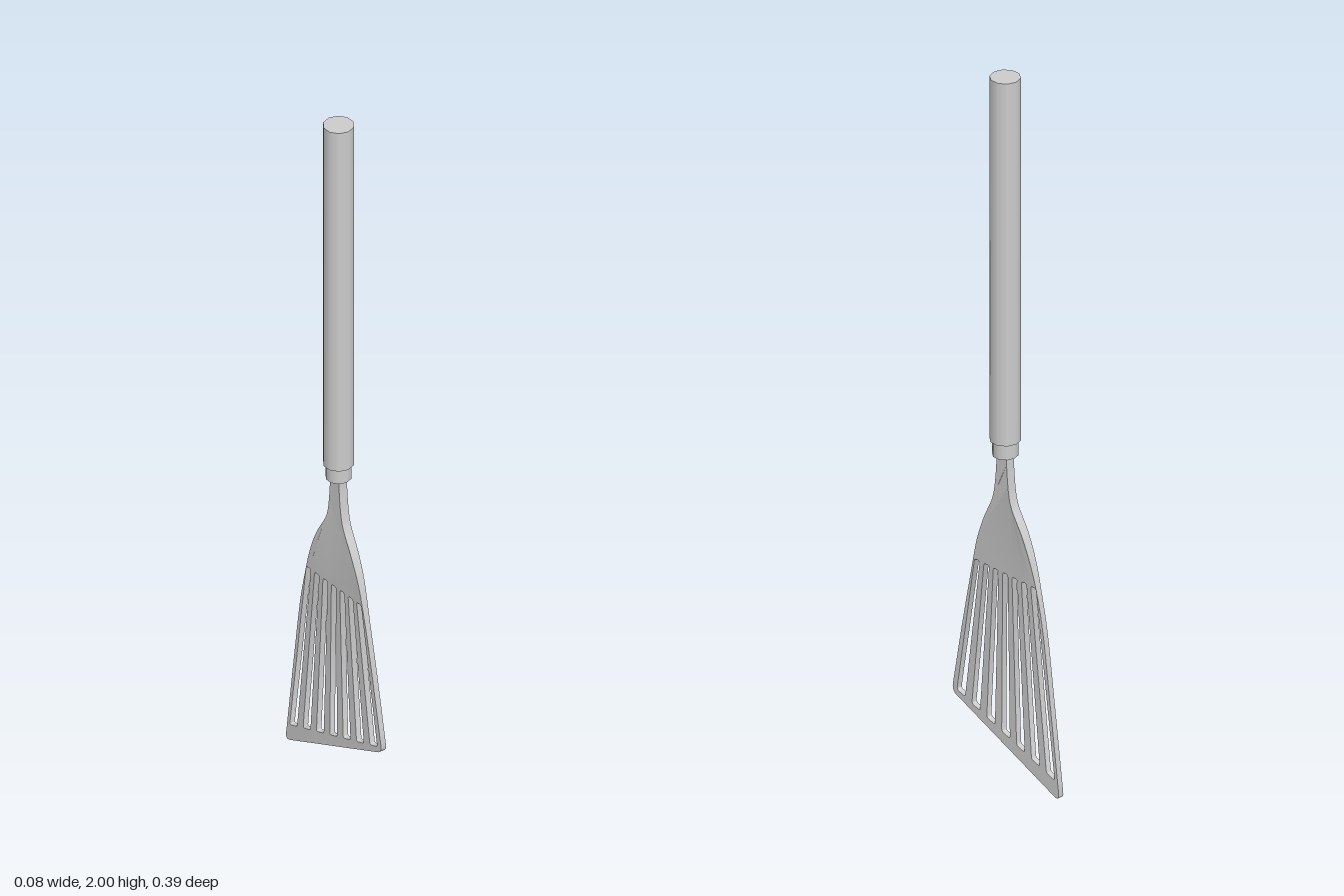
import * as THREE from 'three';
import { toCreasedNormals } from 'three/addons/utils/BufferGeometryUtils.js';

const material = new THREE.MeshStandardMaterial({ color: 0xcccccc });
const AXIS_Z = 0.012; // handle sits slightly forward of the blade's centre
const lerp = THREE.MathUtils.lerp;

function cylinder(name, radius, y0, y1) {
  const geometry = new THREE.CylinderGeometry(radius, radius, y1 - y0, 10);
  const mesh = new THREE.Mesh(geometry, material);
  mesh.name = name;
  mesh.position.set(0, (y0 + y1) / 2, AXIS_Z);
  return mesh;
}

// Closed path through the corners, each one rounded by radius r
function roundedPath(corners, r) {
  const path = new THREE.Path();
  const pts = corners.map(([x, y]) => new THREE.Vector2(x, y));
  const toward = (a, b) => a.clone().add(b.clone().sub(a).setLength(r));
  pts.forEach((p, i) => {
    const a = toward(p, pts[(i + pts.length - 1) % pts.length]);
    const b = toward(p, pts[(i + 1) % pts.length]);
    if (i === 0) path.moveTo(a.x, a.y);
    else path.lineTo(a.x, a.y);
    path.quadraticCurveTo(p.x, p.y, b.x, b.y);
  });
  path.closePath();
  return path;
}

// Neck is thick, thinning through the shoulders to the slotted blade
function thickness(y) {
  if (y > 0.75) return 0.026;
  return lerp(0.016, 0.026, THREE.MathUtils.smoothstep(y, 0.52, 0.75));
}

function createBlade() {
  // Outline drawn as (z, y): down the rear edge, along the slanted tip, up the front edge
  const v = (x, y) => new THREE.Vector2(x, y);
  const shape = new THREE.Shape();
  shape.moveTo(-0.006, 0.93);
  shape.splineThru([v(-0.009, 0.86), v(-0.021, 0.785), v(-0.06, 0.715), v(-0.088, 0.65),
    v(-0.109, 0.58), v(-0.135, 0.46), v(-0.162, 0.26), v(-0.193, 0.018)]);
  shape.quadraticCurveTo(-0.195, 0, -0.18, 0.004);
  shape.lineTo(0.185, 0.162);
  shape.quadraticCurveTo(0.199, 0.169, 0.196, 0.188);
  shape.splineThru([v(0.157, 0.4), v(0.12, 0.58), v(0.102, 0.65), v(0.077, 0.715),
    v(0.045, 0.785), v(0.033, 0.86), v(0.03, 0.93)]);
  shape.closePath();

  // Seven slots fanning out towards the tip
  for (let i = 0; i < 7; i++) {
    const t = i / 6;
    const top = lerp(0.106, -0.1, t), bottom = lerp(0.166, -0.163, t);
    const y = lerp(0.177, 0.062, t);
    shape.holes.push(roundedPath([
      [top - 0.0095, 0.578], [top + 0.0095, 0.578],
      [bottom + 0.015, y], [bottom - 0.015, y - 0.01],
    ], 0.007));
  }

  let geometry = new THREE.ExtrudeGeometry(shape, { depth: 1, bevelEnabled: false, curveSegments: 5 });
  geometry.translate(0, 0, -0.5).rotateY(-Math.PI / 2);
  const p = geometry.attributes.position;
  for (let i = 0; i < p.count; i++) p.setX(i, p.getX(i) * thickness(p.getY(i)));
  geometry = toCreasedNormals(geometry, 0.6);
  const mesh = new THREE.Mesh(geometry, material);
  mesh.name = 'slottedBlade';
  return mesh;
}

export function createModel() {
  const group = new THREE.Group();
  group.name = 'slottedTurner';
  group.add(
    cylinder('handle', 0.0405, 0.958, 2),
    cylinder('ferrule', 0.034, 0.915, 0.96),
    createBlade(),
  );
  return group;
}
